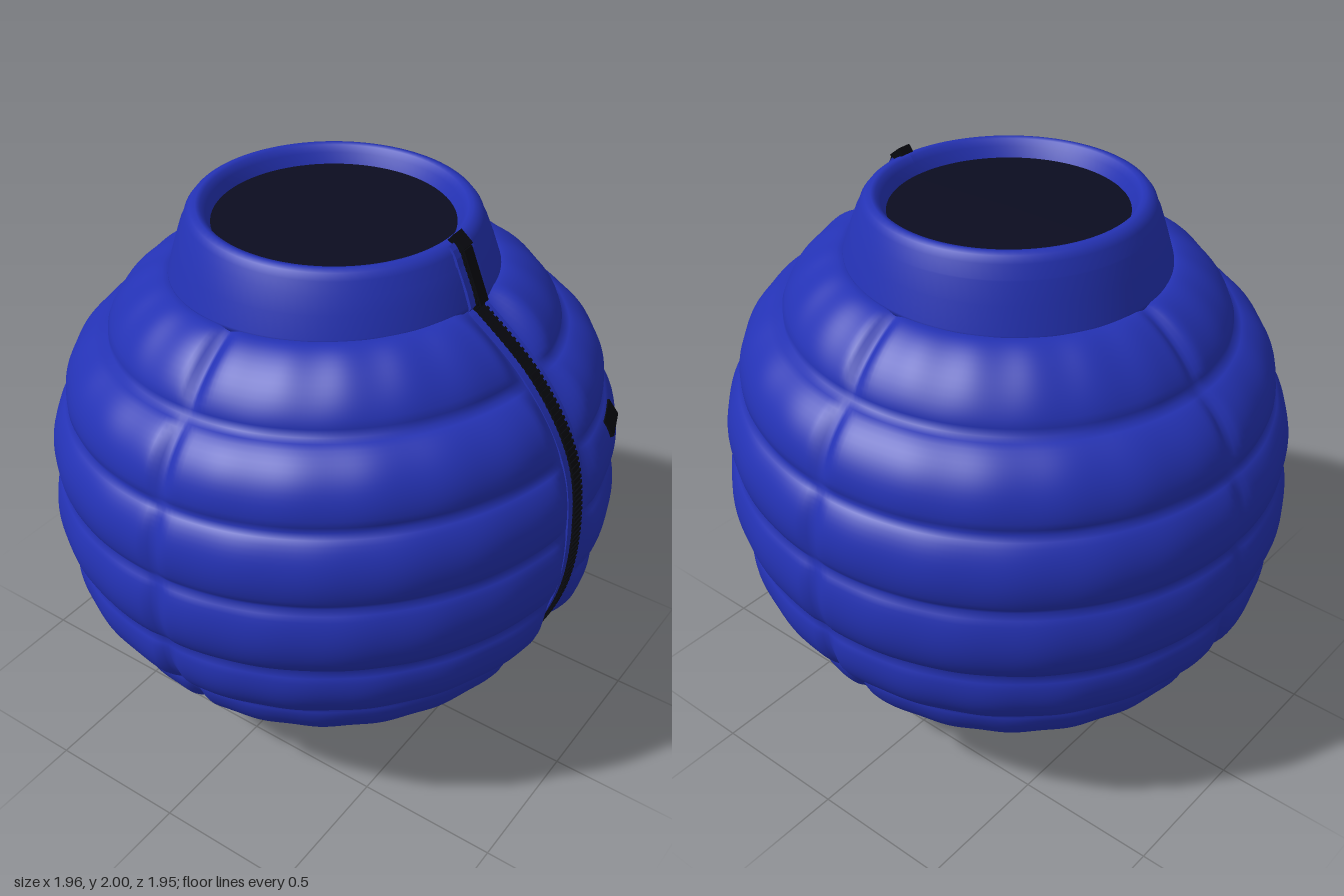
import * as THREE from 'three';
import { mergeGeometries } from 'three/addons/utils/BufferGeometryUtils.js';

const blue = new THREE.MeshStandardMaterial({ color: 0x2432b4 });
blue.name = 'blue fabric';
const black = new THREE.MeshStandardMaterial({ color: 0x08090f });
black.name = 'black trim';
const dark = new THREE.MeshStandardMaterial({ color: 0x0b0d20 });
dark.name = 'dark inside';

const V2 = (a) => a.map(([x, y]) => new THREE.Vector2(x, y));

// Quilting lines (radius, height) from bottom to top, and how far each roll puffs out
const seams = new THREE.SplineCurve(V2([
  [0, 0.035], [0.2, 0.035], [0.41, 0.14], [0.63, 0.3], [0.82, 0.52],
  [0.925, 0.78], [0.945, 1.06], [0.9, 1.32], [0.75, 1.56], [0.52, 1.76],
]));
const puff = [0, 0.025, 0.05, 0.05, 0.045, 0.037, 0.035, 0.047, 0.05];
const ROLLS = puff.length;

const smooth = THREE.MathUtils.smoothstep;
// The rolls rise slightly towards the front
const lean = (x, y, z) =>
  (0.05 * z - 0.015 * x) * smooth(y, 0.03, 0.4) * (1 - smooth(y, 1.76, 1.97));

// Strength of the vertical seams: deep under the zip, shallow at the sides and back
function seamFlatten(phi, r) {
  const width = Math.max(r, 0.3);
  let k = 1;
  for (let q = 0; q < 4; q++) {
    let d = Math.abs(phi - q * Math.PI / 2);
    d = Math.min(d, Math.PI * 2 - d) * width;
    if (q === 0) k *= smooth(d, 0.035, 0.13);
    else k *= 1 - 0.5 * Math.exp(-((d / 0.028) ** 2));
  }
  return k;
}

function bodyGeometry() {
  const steps = ROLLS * 14, segs = 300;
  const pts = [];
  for (let j = 0; j <= steps; j++) pts.push(seams.getPoint(j / steps));
  pts[0].x = 0;
  const g = new THREE.LatheGeometry(pts, segs);
  const p = g.attributes.position;
  for (let j = 0; j <= steps; j++) {
    const t = j / steps;
    const roll = Math.min(Math.floor(t * ROLLS), ROLLS - 1);
    const bulge = puff[roll] * Math.pow(Math.max(0, Math.sin(Math.PI * (t * ROLLS - roll))), 0.65);
    const tan = seams.getTangent(t);
    for (let i = 0; i <= segs; i++) {
      const phi = (i / segs) * Math.PI * 2;
      const b = bulge * seamFlatten(phi, pts[j].x) * (1 + 0.04 * Math.sin(phi * 23 + roll * 2));
      const r = pts[j].x + b * tan.y;
      const x = r * Math.sin(phi), z = r * Math.cos(phi);
      let y = pts[j].y - b * tan.x;
      y += lean(x, y, z);
      p.setXYZ(i * (steps + 1) + j, x, y, z);
    }
  }
  g.computeVertexNormals();
  return g;
}

// Collar: flared outside, rolled rim, short inner lip
const collarProfile = V2([
  [0.5, 1.72], [0.542, 1.755], [0.54, 1.77], [0.515, 1.85], [0.494, 1.91], [0.49, 1.912],
  [0.476, 1.953], [0.46, 1.973], [0.44, 1.98], [0.425, 1.976], [0.41, 1.955], [0.39, 1.91],
]);
function collarGeometry() {
  const g = new THREE.LatheGeometry(collarProfile, 96);
  const p = g.attributes.position;
  for (let i = 0; i < p.count; i++) {
    p.setY(i, p.getY(i) + lean(p.getX(i), p.getY(i), p.getZ(i)));
  }
  g.computeVertexNormals();
  return g;
}

// Front centre line (z, y) from the underside to the collar rim
function zipLine() {
  const pts = [];
  for (let i = 0; i <= 90; i++) {
    const p = seams.getPoint(0.1 + 0.89 * (i / 90));
    pts.push(p);
  }
  pts.push(...V2([[0.542, 1.77], [0.515, 1.85], [0.492, 1.91], [0.476, 1.953], [0.455, 1.977]]));
  return new THREE.SplineCurve(pts.map((p) => new THREE.Vector2(p.x, p.y + lean(0, p.y, p.x))));
}

// Raised strip along a line in the front centre plane
function ribbon(line, x0, x1, height, n = 140) {
  const pos = [], idx = [];
  for (let i = 0; i <= n; i++) {
    const p = line.getPoint(i / n), t = line.getTangent(i / n);
    for (const [x, h] of [[x0, -0.015], [x0, height], [x1, height], [x1, -0.015]]) {
      pos.push(x, p.y - h * t.x, p.x + h * t.y);
    }
    if (i === n) continue;
    for (let k = 0; k < 3; k++) {
      const a = i * 4 + k, b = a + 1, c = a + 4, d = a + 5;
      idx.push(a, b, d, a, d, c);
    }
  }
  const g = new THREE.BufferGeometry();
  g.setAttribute('position', new THREE.Float32BufferAttribute(pos, 3));
  g.setIndex(idx);
  const flat = g.toNonIndexed();
  flat.computeVertexNormals();
  return flat;
}

export function createModel() {
  const model = new THREE.Group();
  const add = (name, geo, mat, parent = model) => {
    const m = new THREE.Mesh(geo, mat);
    m.name = name;
    parent.add(m);
    return m;
  };

  add('quiltedBody', bodyGeometry(), blue);
  add('collar', collarGeometry(), blue);

  // Dark opening inside the collar
  const opening = add('opening', new THREE.CircleGeometry(0.395, 96), dark);
  opening.rotation.x = -Math.PI / 2;
  opening.position.y = 1.92;

  // Zip: fabric tapes, black band and a row of teeth
  const zip = new THREE.Group();
  zip.name = 'zip';
  model.add(zip);
  const line = zipLine();
  add('zipTape', ribbon(line, -0.052, 0.052, 0.006), blue, zip);
  add('zipBand', ribbon(line, -0.023, 0.023, 0.011), black, zip);
  const teeth = [];
  const count = 120;
  for (let i = 0; i < count; i++) {
    const u = (i + 0.5) / count;
    const p = line.getPointAt(u), t = line.getTangentAt(u);
    const tooth = new THREE.BoxGeometry(0.05, 0.011, 0.012);
    tooth.rotateX(Math.atan2(t.x, t.y));
    tooth.translate(0, p.y - 0.01 * t.x, p.x + 0.01 * t.y);
    teeth.push(tooth);
  }
  add('zipTeeth', mergeGeometries(teeth), black, zip);

  // Slider and hanging pull tab
  const slider = add('zipSlider', new THREE.BoxGeometry(0.05, 0.055, 0.028), black, zip);
  slider.position.set(0, 1.977, 0.467);
  slider.rotation.x = -0.9;
  const pull = add('zipPull', new THREE.BoxGeometry(0.045, 0.18, 0.008), black, zip);
  pull.position.set(0, 1.878, 0.527);
  pull.rotation.x = -0.4;

  // Small patch on the chest
  const patch = new THREE.Group();
  patch.name = 'patch';
  patch.position.set(0.328, 1.302, 0.878);
  patch.rotation.order = 'YXZ';
  patch.rotation.set(-0.6, 0.36, 0);
  model.add(patch);
  add('patchPlate', new THREE.BoxGeometry(0.135, 0.064, 0.03), black, patch);

  // Ring under the base with the end stop of the zip
  const ring = add('baseRing', new THREE.TorusGeometry(0.163, 0.014, 10, 64), black);
  ring.rotation.x = Math.PI / 2;
  ring.position.y = 0.022;
  const stop = add('zipStop', new THREE.BoxGeometry(0.05, 0.022, 0.07), black);
  stop.position.set(0, 0.024, 0.195);

  return model;
}
